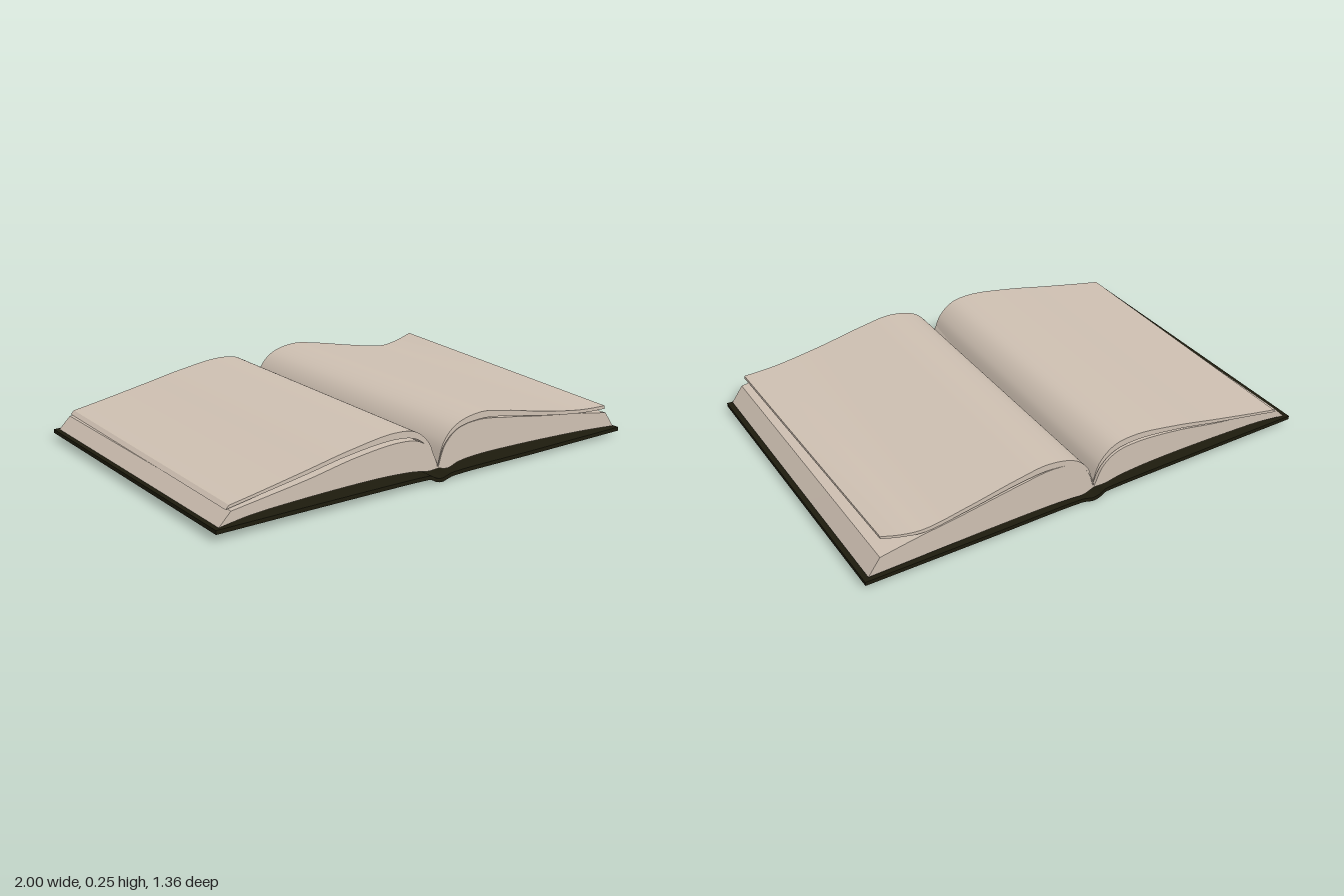
import * as THREE from 'three';
import { mergeGeometries } from 'three/addons/utils/BufferGeometryUtils.js';

const paper = new THREE.MeshStandardMaterial({ color: 0xcdbfb1, side: THREE.DoubleSide });
paper.name = 'paper';
const leather = new THREE.MeshStandardMaterial({ color: 0x1d1b0d });
leather.name = 'dark leather';

// Smooth surface patch from point(u, v); separate patches keep the edges sharp
function patch(nu, nv, point, flip = false) {
  const pos = [], index = [];
  for (let j = 0; j <= nv; j++)
    for (let i = 0; i <= nu; i++) pos.push(...point(i / nu, j / nv));
  for (let j = 0; j < nv; j++)
    for (let i = 0; i < nu; i++) {
      const a = j * (nu + 1) + i, b = a + 1, c = a + nu + 1, d = c + 1;
      index.push(...(flip ? [a, d, b, a, c, d] : [a, b, d, a, d, c]));
    }
  const g = new THREE.BufferGeometry();
  g.setAttribute('position', new THREE.Float32BufferAttribute(pos, 3));
  g.setIndex(index);
  g.computeVertexNormals();
  return g;
}

// Curved slab between two [x, y] profiles (x increasing), optionally with a different back profile
function slab(name, material, depth, top, bottom, topBack = top, bottomBack = bottom) {
  const N = 60;
  const sample = (pts) => new THREE.CatmullRomCurve3(pts.map(([x, y]) => new THREE.Vector3(x, y, 0))).getPoints(N);
  const [tf, tb, bf, bb] = [top, topBack, bottom, bottomBack].map(sample);
  // u runs along x, v from front to back, h from bottom to top
  const at = (u, v, h) => {
    const i = Math.round(u * N);
    const p = bf[i].clone().lerp(bb[i], v).lerp(tf[i].clone().lerp(tb[i], v), h);
    return [p.x, p.y, depth * (0.5 - v)];
  };
  const mesh = new THREE.Mesh(mergeGeometries([
    patch(N, 8, (u, v) => at(u, v, 1)),
    patch(N, 8, (u, v) => at(u, v, 0), true),
    patch(N, 1, (u, h) => at(u, 0, h)),
    patch(N, 1, (u, h) => at(u, 1, h), true),
    patch(8, 1, (v, h) => at(1, v, h)),
    patch(8, 1, (v, h) => at(0, v, h), true),
  ]), material);
  mesh.name = name;
  return mesh;
}

export function createModel() {
  const book = new THREE.Group();
  book.name = 'openBook';

  // Hard cover with a rounded spine
  const coverTop = [[-1, 0.045], [-0.5, 0.043], [-0.08, 0.039], [-0.045, 0.036], [-0.02, 0.022], [0.01, 0.016],
    [0.035, 0.022], [0.06, 0.028], [0.5, 0.031], [1, 0.034]];
  const coverBottom = coverTop.map(([x, y]) => [x, y - 0.016]);
  book.add(slab('cover', leather, 1.36, coverTop, coverBottom));

  // Thick page blocks
  book.add(slab('leftPageBlock', paper, 1.33,
    [[-0.93, 0.095], [-0.8, 0.113], [-0.6, 0.142], [-0.4, 0.178], [-0.2, 0.196], [-0.1, 0.183], [-0.04, 0.14], [0, 0.06]],
    [[-0.98, 0.045], [-0.85, 0.062], [-0.65, 0.071], [-0.4, 0.075], [-0.25, 0.073], [-0.12, 0.064], [-0.05, 0.052], [0, 0.054]]));
  book.add(slab('rightPageBlock', paper, 1.33,
    [[0, 0.06], [0.03, 0.14], [0.09, 0.194], [0.2, 0.213], [0.35, 0.196], [0.6, 0.157], [0.78, 0.133], [0.93, 0.108]],
    [[0, 0.054], [0.05, 0.045], [0.1, 0.06], [0.2, 0.069], [0.4, 0.068], [0.6, 0.062], [0.8, 0.053], [0.98, 0.04]],
    undefined,
    [[0, 0.054], [0.05, 0.037], [0.1, 0.04], [0.2, 0.045], [0.4, 0.046], [0.6, 0.044], [0.8, 0.041], [0.98, 0.038]]));

  // Loose upper leaves, slightly skewed on the blocks
  const leftLeaves = slab('leftUpperLeaves', paper, 1.33,
    [[-0.915, 0.111], [-0.8, 0.132], [-0.6, 0.171], [-0.4, 0.211], [-0.2, 0.237], [-0.1, 0.222], [-0.035, 0.165], [0, 0.07]],
    [[-0.93, 0.097], [-0.8, 0.12], [-0.6, 0.155], [-0.4, 0.192], [-0.2, 0.21], [-0.1, 0.194], [-0.035, 0.142], [0, 0.062]]);
  leftLeaves.rotation.y = -0.018;
  book.add(leftLeaves);

  // The right leaves curl up towards the back corner
  const top = [[0, 0.07], [0.03, 0.16], [0.09, 0.217], [0.21, 0.245], [0.35, 0.227], [0.55, 0.187], [0.74, 0.157], [0.915, 0.146]];
  const bottom = [[0, 0.062], [0.03, 0.143], [0.09, 0.196], [0.21, 0.217], [0.35, 0.204], [0.55, 0.169], [0.74, 0.142], [0.915, 0.132]];
  const curl = (pts, y) => [...pts.slice(0, -1), [0.83, y - 0.026], [0.915, y]];
  const flat = (pts) => [...pts.slice(0, -1), [0.83, pts[7][1] + 0.003], pts[7]];
  const rightLeaves = slab('rightUpperLeaves', paper, 1.335, flat(top), flat(bottom), curl(top, 0.195), curl(bottom, 0.184));
  rightLeaves.rotation.y = -0.009;
  book.add(rightLeaves);

  return book;
}
